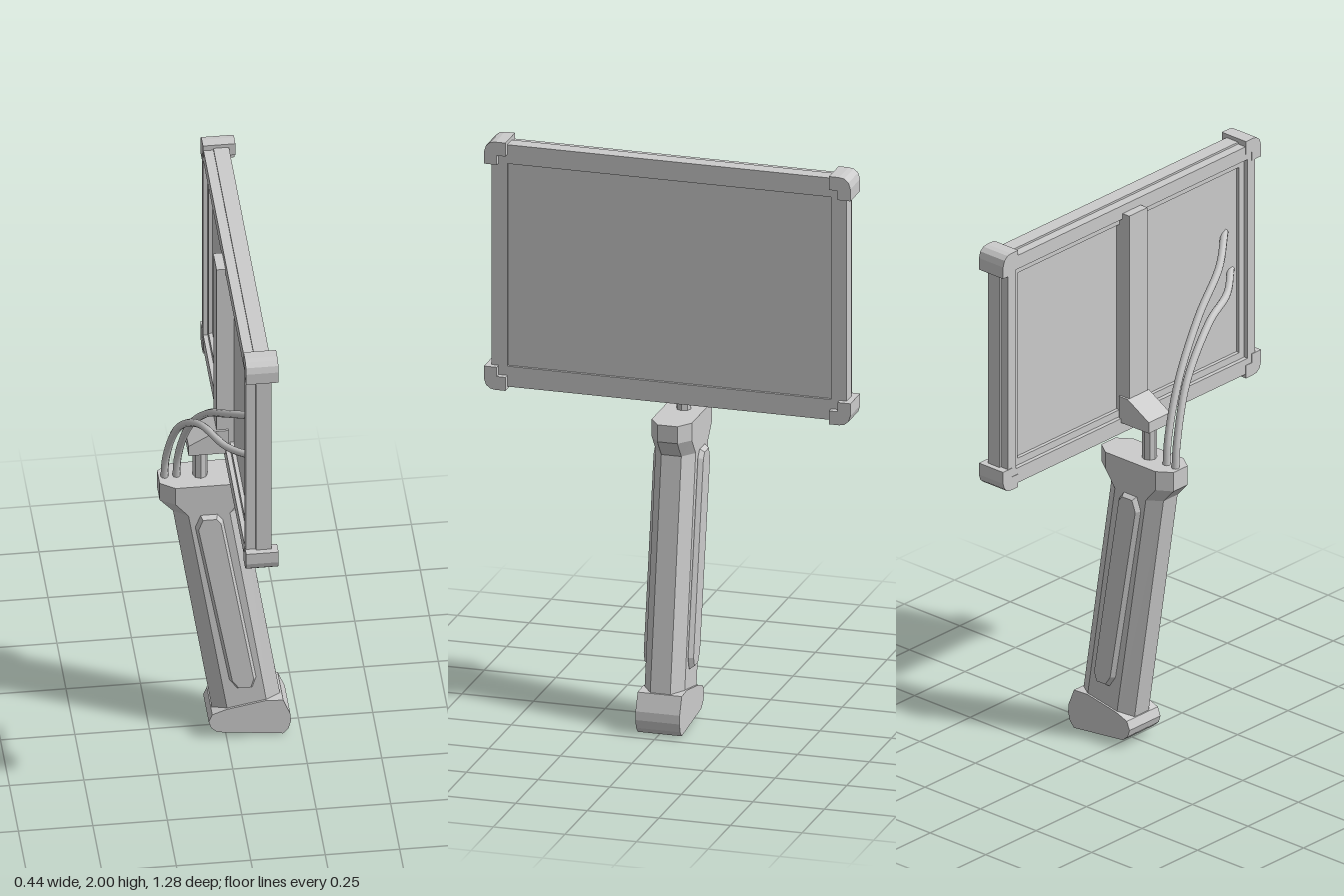
import * as THREE from 'three';

const mat = new THREE.MeshStandardMaterial({ color: 0xcccccc, flatShading: true });
const smoothMat = new THREE.MeshStandardMaterial({ color: 0xcccccc });

const polygon = (pts) => new THREE.Shape(pts.map(([a, b]) => new THREE.Vector2(a, b)));
const rect = (w, y0, y1) => [[-w, y0], [w, y0], [w, y1], [-w, y1]];

export function createModel() {
  const model = new THREE.Group();

  const add = (name, geometry, material = mat) => {
    const mesh = new THREE.Mesh(geometry, material);
    mesh.name = name;
    model.add(mesh);
    return mesh;
  };
  const box = (name, x0, x1, y0, y1, w) => {
    const g = new THREE.BoxGeometry(x1 - x0, y1 - y0, 2 * w);
    return add(name, g.translate((x0 + x1) / 2, (y0 + y1) / 2, 0));
  };
  // Extrude a (z, y) outline along x
  const alongX = (name, shape, x0, x1) => {
    const g = new THREE.ExtrudeGeometry(shape, { depth: x1 - x0, bevelEnabled: false });
    return add(name, g.rotateY(Math.PI / 2).translate(x0, 0, 0));
  };
  // Extrude an (x, y) outline symmetrically along z
  const alongZ = (name, pts, w) => {
    const g = new THREE.ExtrudeGeometry(polygon(pts), { depth: 2 * w, bevelEnabled: false });
    return add(name, g.translate(0, 0, -w));
  };

  // Screen frame: front half, rear half stepped in slightly, thin inner lip
  const frame = (name, w, y0, y1, iw, iy0, iy1, x0, x1) => {
    const shape = polygon(rect(w, y0, y1));
    shape.holes.push(new THREE.Path(rect(iw, iy0, iy1).reverse().map(([a, b]) => new THREE.Vector2(a, b))));
    alongX(name, shape, x0, x1);
  };
  frame('frontFrame', 0.62, 1.133, 1.987, 0.565, 1.205, 1.92, 0.033, 0.085);
  frame('rearFrame', 0.613, 1.14, 1.98, 0.575, 1.195, 1.93, 0, 0.033);
  frame('rearLip', 0.58, 1.19, 1.935, 0.55, 1.22, 1.905, 0.015, 0.035);
  box('screenPanel', 0.028, 0.075, 1.2, 1.925, 0.57);

  // Corner guards: notched blocks with a rounded outer corner
  const cy = 1.5625;
  for (const sz of [1, -1]) {
    for (const sy of [1, -1]) {
      const pts = [
        [0.565, 0.39], [0.595, 0.39], [0.595, 0.3575], [0.64, 0.3575], [0.64, 0.4],
        [0.633, 0.422], [0.618, 0.4345], [0.6, 0.4375], [0.565, 0.4375],
      ].map(([a, b]) => [a * sz, cy + b * sy]);
      alongX('cornerGuard', polygon(pts), -0.002, 0.107);
    }
  }

  // Rear spine, bracket and post carrying the screen
  box('rearSpine', -0.03, 0.035, 1.18, 1.95, 0.045);
  alongZ('bracket', [[-0.125, 1.18], [0.01, 1.18], [0.01, 1.275], [-0.03, 1.275], [-0.125, 1.22]], 0.053);
  add('post', new THREE.CylinderGeometry(0.025, 0.025, 0.16, 8).translate(-0.08, 1.12, 0));

  // Handle: chamfered eight-sided sections from pommel to top cap
  // Each row is y at the back, y at the front, back x, front x, chamfer
  const sections = [
    [0.07, 0.07, -0.04, 0.195, 0.05],
    [0.94, 0.94, -0.175, 0.06, 0.048],
    [0.99, 1.0, -0.22, 0.105, 0.05],
    [1.06, 1.06, -0.22, 0.105, 0.05],
  ];
  const rings = sections.map(([yb, yf, a, b, c]) => [
    [b, -0.035], [b, 0.035], [b - c, 0.07], [a + c, 0.07],
    [a, 0.035], [a, -0.035], [a + c, -0.07], [b - c, -0.07],
  ].map(([x, z]) => [x, yb + (yf - yb) * (x - a) / (b - a), z]));
  const verts = [];
  const tri = (...corners) => corners.forEach((p) => verts.push(...p));
  for (let r = 0; r < rings.length - 1; r++) {
    for (let i = 0; i < 8; i++) {
      const j = (i + 1) % 8, lo = rings[r], hi = rings[r + 1];
      tri(lo[i], hi[i], lo[j]);
      tri(lo[j], hi[i], hi[j]);
    }
  }
  const top = rings[rings.length - 1];
  for (let i = 1; i < 7; i++) {
    tri(top[0], top[i + 1], top[i]);
    tri(rings[0][0], rings[0][i], rings[0][i + 1]);
  }
  const handle = new THREE.BufferGeometry();
  handle.setAttribute('position', new THREE.Float32BufferAttribute(verts, 3));
  handle.computeVertexNormals();
  add('handle', handle);

  // Raised grip panels with bevelled rims on both sides
  const grip = polygon([
    [0.04, 0.212], [0.08, 0.212], [0.09, 0.245], [-0.02, 0.91], [-0.035, 0.93],
    [-0.08, 0.93], [-0.095, 0.89], [0.018, 0.245],
  ]);
  for (const s of [1, -1]) {
    const g = new THREE.ExtrudeGeometry(grip, {
      depth: 0.02, bevelThickness: 0.014, bevelSize: 0.009, bevelSegments: 1,
    });
    add('gripPanel', g.translate(0, 0, s > 0 ? 0.053 : -0.073));
  }

  // Pommel
  alongZ('pommel', [
    [-0.03, 0.025], [0.19, 0.0], [0.208, 0.02], [0.216, 0.05], [0.214, 0.08],
    [0.19, 0.14], [0.13, 0.143], [0, 0.118], [-0.048, 0.1], [-0.06, 0.07], [-0.052, 0.045],
  ], 0.077);

  // Cables from the handle cap to the back of the screen
  const cables = [
    [[-0.2, 1.03, -0.005], [-0.195, 1.15, 0.01], [-0.165, 1.33, 0.09],
      [-0.11, 1.47, 0.26], [-0.04, 1.5, 0.43], [0.035, 1.53, 0.53]],
    [[-0.16, 1.03, -0.005], [-0.155, 1.15, 0.01], [-0.13, 1.33, 0.09],
      [-0.085, 1.5, 0.24], [-0.04, 1.61, 0.39], [0.035, 1.68, 0.5]],
  ];
  for (const pts of cables) {
    const curve = new THREE.CatmullRomCurve3(pts.map((p) => new THREE.Vector3(...p)));
    add('cable', new THREE.TubeGeometry(curve, 40, 0.013, 8), smoothMat);
  }

  return model;
}
